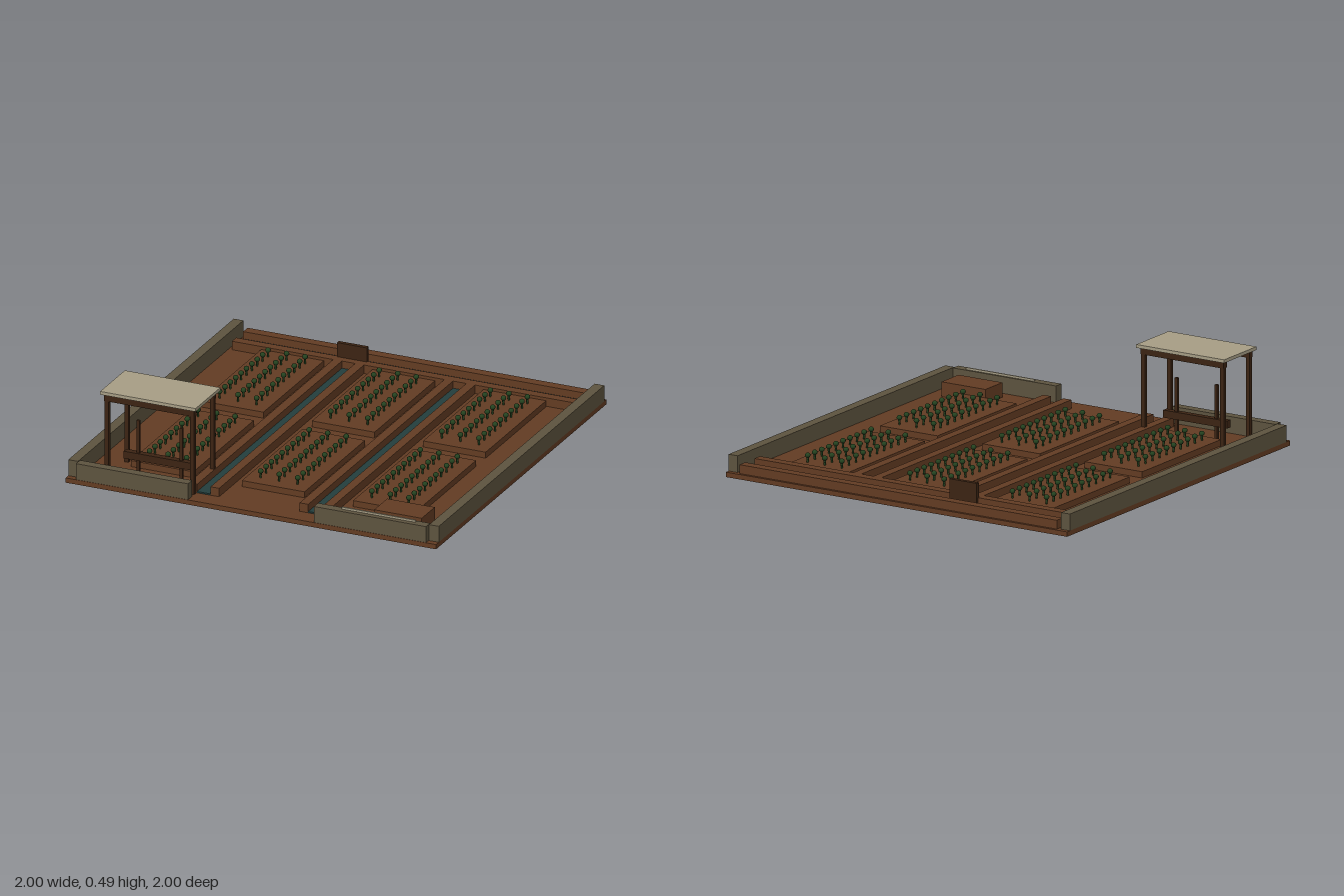
import * as THREE from 'three';

const mat = (name, color) => {
  const m = new THREE.MeshStandardMaterial({ color });
  m.name = name;
  return m;
};

export function createModel() {
  const model = new THREE.Group();
  model.name = 'irrigatedFarm';
  const soil = mat('soil', 0x633c23);
  const stone = mat('wallStone', 0x5e543f);
  const wood = mat('darkWood', 0x3c2413);
  const water = mat('water', 0x233e3d);
  const leaf = mat('leaf', 0x24421f);
  const pale = mat('paleStraw', 0xa89f86);

  // Box given by its extents
  const box = (name, m, x0, x1, y0, y1, z0, z1, parent = model) => {
    const mesh = new THREE.Mesh(new THREE.BoxGeometry(x1 - x0, y1 - y0, z1 - z0), m);
    mesh.position.set((x0 + x1) / 2, (y0 + y1) / 2, (z0 + z1) / 2);
    mesh.name = name;
    parent.add(mesh);
    return mesh;
  };
  const G = 0.025; // ground level

  box('ground', soil, -1, 1, 0, G, -1, 1);

  // Low enclosing walls, open at the back and at the front gap
  for (const s of [-1, 1]) {
    box('sideWall', stone, s < 0 ? -1 : 0.948, s < 0 ? -0.948 : 1, G, 0.11, -0.975, 0.968);
    box('frontWall', stone, s < 0 ? -0.945 : 0.34, s < 0 ? -0.34 : 0.945, G, 0.11, 0.95, 0.998);
  }
  box('wallStrip', pale, 0.475, 0.875, 0.1, 0.12, 0.961, 0.97);

  // Main canal across the back
  box('canalBank', soil, -0.93, 0.93, G, 0.07, -0.985, -0.933);
  box('canalBank', soil, -0.93, 0.93, G, 0.07, -0.85, -0.8);
  box('canalWater', water, -0.93, 0.93, G, 0.032, -0.933, -0.85);
  box('sluiceGate', wood, -0.38, -0.22, G, 0.145, -0.862, -0.84);

  // Two side channels running to the front
  for (const cx of [-0.3, 0.3]) {
    box('channelWater', water, cx - 0.036, cx + 0.036, G, 0.032, -0.8, 0.9);
    box('channelBank', soil, cx - 0.083, cx - 0.036, G, 0.07, -0.8, 0.9);
    box('channelBank', soil, cx + 0.036, cx + 0.083, G, 0.07, -0.8, 0.9);
  }

  // Raised beds with three rows of ten plants
  const stemGeo = new THREE.CylinderGeometry(0.007, 0.005, 0.032, 5);
  const leafGeo = new THREE.SphereGeometry(0.0145, 8, 6);
  for (const bx of [-0.6, 0, 0.6]) {
    for (const bz of [-0.44, 0.382]) {
      const bed = new THREE.Group();
      bed.name = 'plantedBed';
      model.add(bed);
      box('bedSoil', soil, bx - 0.169, bx + 0.169, G, 0.057, bz - 0.355, bz + 0.355, bed);
      for (let c = -1; c <= 1; c++) {
        for (let r = 0; r < 10; r++) {
          const x = bx + c * 0.1, z = bz + (r - 4.5) * 0.0632;
          const stem = new THREE.Mesh(stemGeo, leaf);
          stem.name = 'plantStem';
          stem.position.set(x, 0.072, z);
          const top = new THREE.Mesh(leafGeo, leaf);
          top.name = 'plantLeaves';
          top.position.set(x, 0.093, z);
          top.scale.y = 0.9;
          bed.add(stem, top);
        }
      }
    }
  }

  // Earth heap in the front corner
  box('earthHeap', soil, 0.615, 0.872, G, 0.1, 0.737, 0.89);

  // Shelter on four posts
  const shelter = new THREE.Group();
  shelter.name = 'shelter';
  model.add(shelter);
  box('roof', pale, -0.84, -0.325, 0.475, 0.492, 0.652, 0.942, shelter);
  for (const z of [0.685, 0.917]) {
    box('roofBeam', wood, -0.825, -0.338, 0.44, 0.475, z - 0.014, z + 0.014, shelter);
    for (const x of [-0.812, -0.35])
      box('post', wood, x - 0.011, x + 0.011, G, 0.44, z - 0.01, z + 0.01, shelter);
  }

  // Treadle beam with two upright handles under the roof
  box('treadleBeam', wood, -0.77, -0.395, 0.1, 0.138, 0.785, 0.818, shelter);
  for (const x of [-0.698, -0.465])
    box('treadleUpright', wood, x - 0.008, x + 0.008, G, 0.31, 0.795, 0.809, shelter);

  return model;
}
